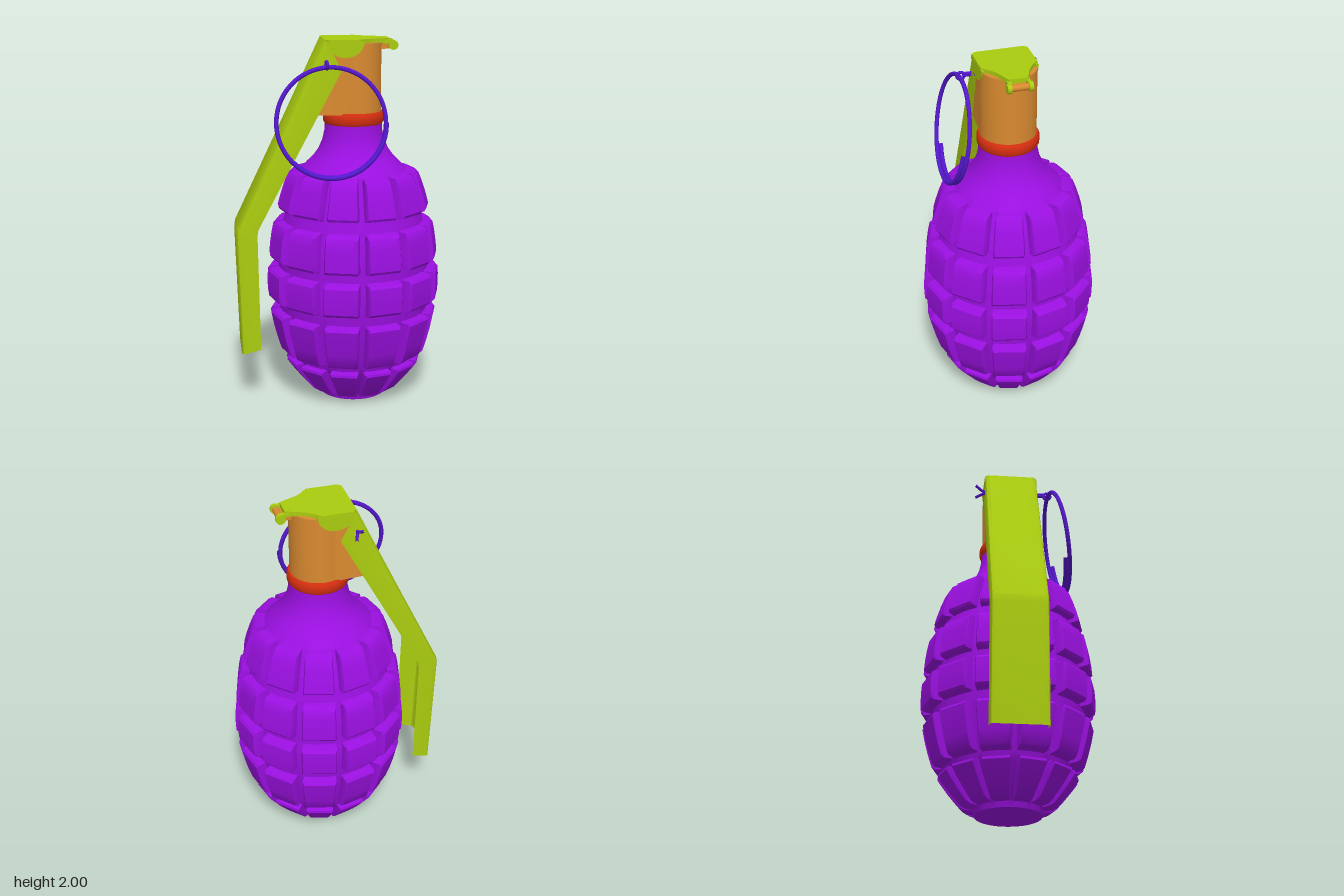
import * as THREE from 'three';
import { toCreasedNormals } from 'three/addons/utils/BufferGeometryUtils.js';

const mat = (color, side = THREE.FrontSide) => new THREE.MeshStandardMaterial({ color, side });
const PURPLE = mat(0x9a10e0), GREEN = mat(0xaacc10, THREE.DoubleSide), ORANGE = mat(0xd98a30);
const RED = mat(0xd83010), STEEL = mat(0x5518d0);
const RAD = Math.PI / 180;

function add(parent, name, geometry, material) {
  const mesh = new THREE.Mesh(geometry, material);
  mesh.name = name;
  parent.add(mesh);
  return mesh;
}

// Surface through rings of points; optionally closed around
function loft(rings, closed, crease = 0.6) {
  const n = rings[0].length, pos = rings.flat(2), index = [];
  for (let i = 0; i < rings.length - 1; i++) {
    for (let j = 0; j < (closed ? n : n - 1); j++) {
      const k = (j + 1) % n, a = i * n + j, b = i * n + k;
      index.push(a, a + n, b, b, a + n, b + n);
    }
  }
  const g = new THREE.BufferGeometry();
  g.setAttribute('position', new THREE.Float32BufferAttribute(pos, 3));
  g.setIndex(index);
  return toCreasedNormals(g, crease);
}

// Horizontal slab from an outline in x/z
function slab(shape, y0, y1) {
  const g = new THREE.ExtrudeGeometry(shape, { depth: y1 - y0, bevelEnabled: false, curveSegments: 24 });
  return g.rotateX(-Math.PI / 2).translate(0, y0, 0);
}

function tube(points, radius, segments = 16) {
  const curve = new THREE.CatmullRomCurve3(points.map(p => new THREE.Vector3(...p)));
  return new THREE.TubeGeometry(curve, segments, radius, 8);
}

// Body: grooved shell, 12 columns by 5 rows of raised blocks
function bodyGeometry() {
  // [bottom y, top y, block radius bottom, top, groove radius bottom, top]
  const rows = [
    [0.03, 0.22, 0.235, 0.385, 0.19, 0.335],
    [0.25, 0.505, 0.395, 0.46, 0.345, 0.41],
    [0.56, 0.745, 0.465, 0.465, 0.415, 0.415],
    [0.79, 1.005, 0.46, 0.43, 0.415, 0.385],
    [1.065, 1.285, 0.415, 0.345, 0.37, 0.29],
  ];
  const levels = [[0, 0.001, 0.001, 0], [0, 0.18, 0.18, 0]];
  for (const [y0, y1, b0, b1, f0, f1] of rows) {
    const h = y1 - y0;
    const steps = [[0, 0], [0.008, 0.78], [0.022, 1], [h * 0.35, 1], [h * 0.65, 1], [h - 0.022, 1], [h - 0.008, 0.78], [h, 0]];
    for (const [d, w] of steps) {
      const t = d / h, bulge = 0.006 * Math.sin(Math.PI * t);
      levels.push([y0 + d, f0 + (f1 - f0) * t + bulge, b0 + (b1 - b0) * t + bulge, w]);
    }
  }
  for (const [y, r] of [[1.32, 0.258], [1.36, 0.218], [1.4, 0.19], [1.45, 0.169], [1.5, 0.158], [1.55, 0.155]]) {
    levels.push([y, r, r, 0]);
  }
  const half = [[4, 1], [8, 1], [10.8, 1], [11.8, 0.8], [13, 0]];
  const across = [[-15, 0], ...half.map(([a, w]) => [-a, w]).reverse(), [0, 1], ...half];
  const rings = levels.map(([y, f, b, w]) => {
    const ring = [];
    for (let c = 0; c < 12; c++) {
      for (const [deg, wa] of across) {
        const k = Math.min(w, wa), a = (c * 30 + 2.5 + deg) * RAD;
        const r = f + (b / Math.cos(deg * RAD) - f) * k;
        ring.push([r * Math.cos(a), y, r * Math.sin(a)]);
      }
    }
    return ring;
  });
  return loft(rings, true);
}

// Lever: folded channel running down from the top plate
function leverGeometry() {
  // outer face and flange edge at each station: [x, y, x, y]
  const stations = [
    [0.635, 0.28, 0.53, 0.305], [0.655, 0.94, 0.54, 0.95], [0.65, 0.985, 0.535, 0.985],
    [0.41, 1.487, 0.31, 1.41], [0.168, 2, 0.08, 1.84],
  ];
  const half = [[0.15, 1], [0.15, 0.22], [0.144, 0.08], [0.125, 0]];
  const section = [...half, ...half.map(([z, t]) => [-z, t]).reverse()];
  return loft(stations.map(([ox, oy, ix, iy]) =>
    section.map(([z, t]) => [ox + (ix - ox) * t, oy + (iy - oy) * t, z])), false, 0.5);
}

export function createModel() {
  const model = new THREE.Group();
  model.name = 'grenade';
  const axis = new THREE.Group();
  axis.name = 'mainAxis';
  axis.position.set(0.055, 0, -0.045);
  model.add(axis);

  add(axis, 'body', bodyGeometry(), PURPLE);

  // Sealing collar on the neck
  const collar = [[0.12, 1.54], [0.157, 1.54], [0.165, 1.553], [0.165, 1.592], [0.157, 1.607], [0.12, 1.607]];
  add(axis, 'collar', toCreasedNormals(new THREE.LatheGeometry(collar.map(p => new THREE.Vector2(...p)), 48), 0.8), RED);

  // Fuse assembly: +x points toward the lever
  const fuse = new THREE.Group();
  fuse.name = 'fuseAssembly';
  fuse.rotation.y = Math.PI + 0.748;
  axis.add(fuse);

  // Fuse housing: rounded back, front face leaning with the lever
  const outline = new THREE.Shape();
  outline.moveTo(0.25, -0.11);
  outline.lineTo(0.25, 0.11);
  outline.lineTo(0.23, 0.13);
  outline.lineTo(0.06, 0.14);
  outline.absarc(0, 0, 0.15, 68 * RAD, 292 * RAD, false);
  outline.lineTo(0.06, -0.14);
  outline.lineTo(0.23, -0.13);
  const housing = slab(outline, 1.6, 1.978);
  const p = housing.attributes.position;
  for (let i = 0; i < p.count; i++) {
    if (p.getX(i) > 0.1 && p.getY(i) > 1.8) p.setX(i, p.getX(i) - 0.115);
  }
  add(fuse, 'fuseHousing', toCreasedNormals(housing, 0.6), ORANGE);

  add(fuse, 'lever', leverGeometry(), GREEN);

  // Top plate narrowing to the hinge
  const plate = new THREE.Shape();
  plate.moveTo(0.168, -0.13);
  plate.lineTo(0.15, -0.15);
  plate.lineTo(-0.02, -0.15);
  plate.quadraticCurveTo(-0.06, -0.105, -0.1, -0.085);
  plate.lineTo(-0.185, -0.05);
  plate.lineTo(-0.185, 0.05);
  plate.lineTo(-0.1, 0.085);
  plate.quadraticCurveTo(-0.06, 0.105, -0.02, 0.15);
  plate.lineTo(0.15, 0.15);
  plate.lineTo(0.168, 0.13);
  add(fuse, 'topPlate', toCreasedNormals(slab(plate, 1.975, 2), 0.5), GREEN);

  // Rounded ears hanging from the plate sides
  const ear = new THREE.Shape();
  ear.absellipse(0, 0, 0.1, 0.085, Math.PI, 2 * Math.PI, false);
  const earGeometry = new THREE.ExtrudeGeometry(ear, { depth: 0.014, bevelEnabled: false, curveSegments: 20 });
  for (const s of [-1, 1]) {
    add(fuse, 'plateEar', earGeometry, GREEN).position.set(0.06, 1.99, s * 0.144 - 0.007);
  }

  // Hinge at the back of the plate
  const barrel = (name, r, len, z, material) => {
    const m = add(fuse, name, new THREE.CylinderGeometry(r, r, len, 16), material);
    m.rotation.x = Math.PI / 2;
    m.position.set(-0.208, 1.962, z);
  };
  barrel('hingePin', 0.018, 0.1, 0, ORANGE);
  for (const s of [-1, 1]) {
    barrel('hingeCurl', 0.026, 0.022, s * 0.056, GREEN);
    const arm = add(fuse, 'hingeArm', new THREE.BoxGeometry(0.06, 0.018, 0.02), GREEN);
    arm.position.set(-0.18, 1.98, s * 0.05);
  }
  add(fuse, 'hingeTongue', new THREE.BoxGeometry(0.09, 0.03, 0.075), ORANGE).position.set(-0.165, 1.955, 0);

  // Split pin through the lever flanges, ends spread apart
  for (const s of [-1, 1]) {
    add(fuse, 'splitPin', tube([
      [0.167, 1.88 + s * 0.006, -0.2], [0.167, 1.88 + s * 0.006, 0], [0.167, 1.88 + s * 0.006, 0.155],
      [0.167 + s * 0.008, 1.88 + s * 0.012, 0.175], [0.167 + s * 0.02, 1.885 + s * 0.028, 0.205],
    ], 0.008, 24), STEEL);
  }
  const eye = add(fuse, 'pinEye', new THREE.TorusGeometry(0.02, 0.008, 8, 20), STEEL);
  eye.rotation.y = Math.PI / 2;
  eye.position.set(0.167, 1.875, -0.208);

  // Pull ring: coiled wire with overlapping ends
  const coil = [];
  const tilt = 10 * RAD;
  for (let i = 0; i <= 66; i++) {
    const t = i / 66, a = (-135 + 495 * t) * RAD, r = 0.289;
    const s = r * Math.sin(a);
    coil.push([0.15 - r * Math.cos(a), 1.58 + s * Math.cos(tilt), -0.262 + s * Math.sin(tilt) + 0.016 - 0.032 * t]);
  }
  add(fuse, 'pullRing', tube(coil, 0.012, 160), STEEL);

  return model;
}
